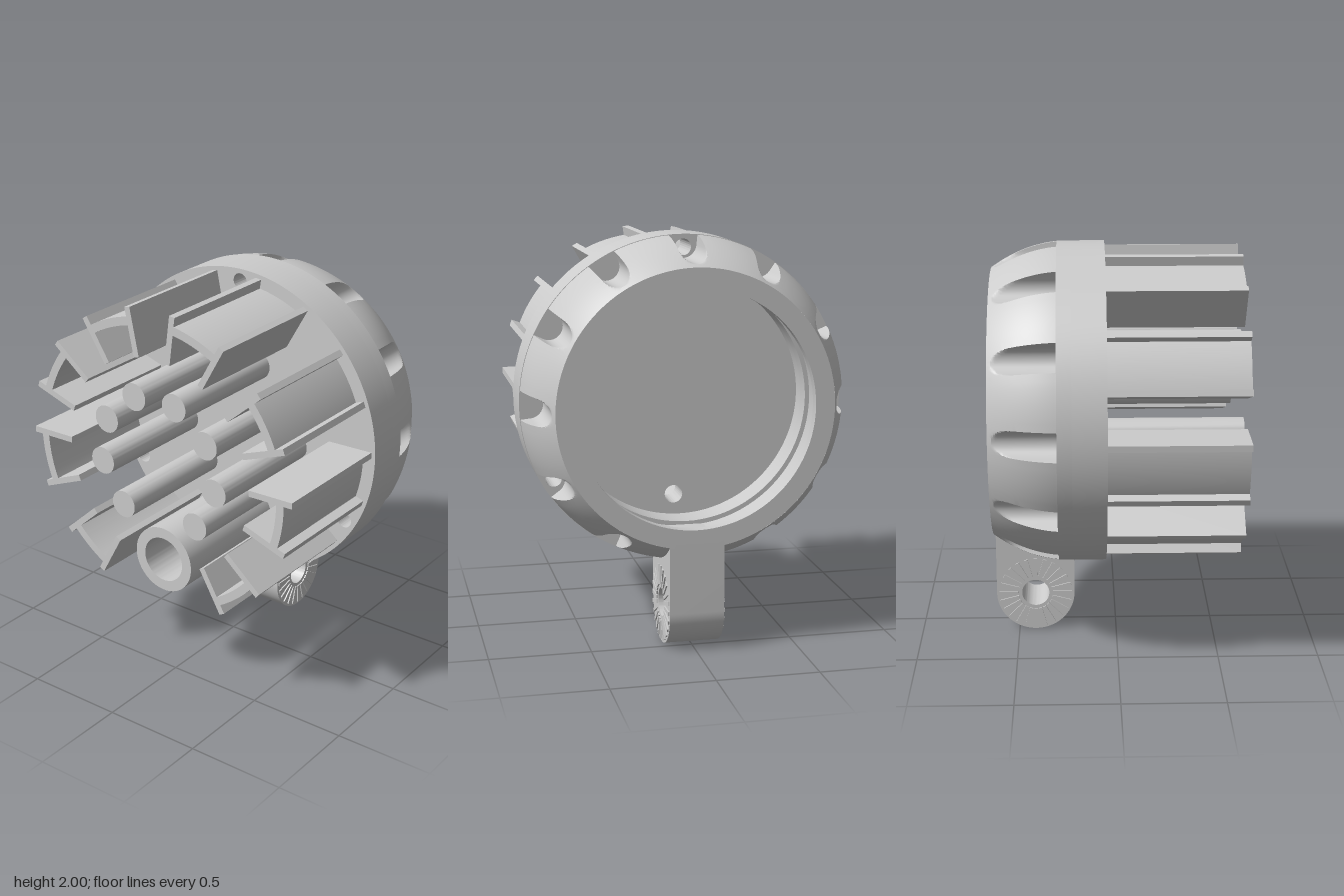
import * as THREE from 'three';
import { toCreasedNormals } from 'three/addons/utils/BufferGeometryUtils.js';

const CY = 1.196, R0 = 0.804, FACE = -0.055, FLOOR = -0.22, STEP = -0.29, BACK = -0.615, FRONT = 0.615;
const rad = THREE.MathUtils.degToRad;
const mat = new THREE.MeshStandardMaterial({ color: 0xcccccc, side: THREE.DoubleSide });

function part(parent, name, geo, crease = 0.5) {
  const mesh = new THREE.Mesh(toCreasedNormals(geo, crease), mat);
  mesh.name = name;
  parent.add(mesh);
}

function circle(r, x = 0, y = 0, Kind = THREE.Shape) {
  const s = new Kind();
  s.absarc(x, y, r, 0, Math.PI * 2, false);
  return s;
}

function extrude(shape, z0, z1, curveSegments = 24) {
  return new THREE.ExtrudeGeometry(shape, { depth: z1 - z0, bevelEnabled: false, curveSegments })
    .translate(0, 0, z0);
}

// Curved outer wall of the housing, with twelve round-bottomed scallops cut along z
function scallopedWall() {
  const C = 0.755, R = 0.067, edge = Math.asin(R / C), half = [];
  for (let i = 0; i <= 8; i++) half.push(Math.asin((R / C) * Math.sin((i / 8) * Math.PI / 2)));
  half.push(edge + 0.0005, rad(8), rad(10), rad(12.5));
  const deltas = [...half.slice(1).reverse().map(d => -d), ...half, rad(15)];
  const cols = [];
  for (let k = 0; k < 12; k++) for (const d of deltas) cols.push([rad(30 * k) + d, d]);
  const rows = 32, pos = [], idx = [], n = cols.length;
  for (let j = 0; j <= rows; j++) {
    const z = STEP + (BACK - STEP) * j / rows;
    const t = (z + 0.23) / (BACK + 0.23);
    const outer = R0 - 0.129 * Math.pow(t, 2.1);
    for (const [a, d] of cols) {
      const q = R * R - (C * Math.sin(d)) ** 2;
      const groove = Math.abs(d) <= edge + 0.0001
        ? C * Math.cos(d) - Math.sqrt(Math.max(q, 0)) : Infinity;
      const r = Math.min(outer, groove);
      pos.push(r * Math.cos(a), r * Math.sin(a), z);
    }
  }
  for (let j = 0; j < rows; j++) for (let i = 0; i < n; i++) {
    const a = j * n + i, b = j * n + (i + 1) % n;
    idx.push(a, a + n, b, b, a + n, b + n);
  }
  const g = new THREE.BufferGeometry();
  g.setAttribute('position', new THREE.Float32BufferAttribute(pos, 3));
  g.setIndex(idx);
  return g;
}

// Disc with the three screw holes and one more opening
function drumShape(opening) {
  const s = circle(R0);
  for (const a of [90, 210, 330])
    s.holes.push(circle(0.04, 0.741 * Math.cos(rad(a)), 0.741 * Math.sin(rad(a)), THREE.Path));
  s.holes.push(opening);
  return s;
}

function addHousing(group) {
  // Front plate with the cable hole, then the ring behind it
  part(group, 'frontPlate', extrude(drumShape(circle(0.045, 0.03, -0.497, THREE.Path)), FLOOR, FACE, 96));
  part(group, 'housingRing', extrude(drumShape(circle(0.6, 0, 0, THREE.Path)), STEP, FLOOR, 96));
  part(group, 'scallopedWall', scallopedWall());
  // Stepped cavity wall and rear rim
  const profile = [[0.6, STEP], [0.6, -0.37], [0.622, -0.37], [0.622, -0.565],
    [0.58, -0.565], [0.58, BACK], [0.675, BACK]].map(p => new THREE.Vector2(...p));
  part(group, 'cavityWall', new THREE.LatheGeometry(profile, 96).rotateX(Math.PI / 2));
}

// Channel: two radial walls joined by a curved web
function addChannel(group, a0, a1) {
  const channel = new THREE.Group();
  channel.name = 'channel';
  const web = new THREE.Shape();
  web.absarc(0, 0, 0.737, rad(a0), rad(a1), false);
  web.absarc(0, 0, 0.695, rad(a1), rad(a0), true);
  part(channel, 'channelWeb', extrude(web, FACE, FRONT, 12));
  for (const a of [a0, a1]) {
    const wall = new THREE.BoxGeometry(0.243, 0.031, FRONT - FACE)
      .translate(0.6615, 0, (FRONT + FACE) / 2).rotateZ(rad(a));
    part(channel, 'channelWall', wall);
  }
  group.add(channel);
}

// Mounting arm with a rounded eye and radial teeth on both sides
function addArm(root) {
  const arm = new THREE.Group(), ez = -0.415, ey = 0.203, r = 0.2, w = 0.134;
  arm.name = 'mountingArm';
  const s = new THREE.Shape();
  s.moveTo(ez + r, 0.58);
  s.lineTo(ez - r, 0.58);
  s.lineTo(ez - r, ey);
  s.absarc(ez, ey, r, Math.PI, Math.PI * 2, false);
  s.closePath();
  s.holes.push(circle(0.07, ez, ey, THREE.Path));
  part(arm, 'armBody', extrude(s, -w, w, 32).rotateY(-Math.PI / 2));
  const count = 24;
  for (const side of [1, -1]) for (let i = 0; i < count; i++) {
    const tooth = new THREE.BoxGeometry(0.014, 0.1, 0.018)
      .translate(0, 0.138, 0).rotateX(i / count * Math.PI * 2)
      .translate(side * w, ey, ez);
    part(arm, 'armTooth', tooth);
  }
  root.add(arm);
}

export function createModel() {
  const root = new THREE.Group();
  root.name = 'connectorHousing';
  const head = new THREE.Group();
  head.name = 'head';
  head.position.y = CY;
  root.add(head);

  addHousing(head);

  const channels = [[60.5, 82], [101.5, 122.5], [141.5, 162], [181, 202.5],
    [222, 241.3], [299.5, 319.5], [341.5, 361.5], [20.5, 40.5]];
  for (const [a0, a1] of channels) addChannel(head, a0, a1);

  // Contact pins
  const pins = [[-0.13, 0.323], [0.11, 0.328], [-0.305, 0.164], [0.29, 0.183],
    [-0.34, -0.066], [0.34, -0.046], [-0.215, -0.268], [0.225, -0.257]];
  for (const [x, y] of pins) part(head, 'pin', extrude(circle(0.07, x, y), FACE, FRONT));

  // Cable tube
  const tube = circle(0.17, 0.03, -0.497);
  tube.holes.push(circle(0.115, 0.03, -0.497, THREE.Path));
  part(head, 'cableTube', extrude(tube, FACE, FRONT, 40));

  addArm(root);
  return root;
}
